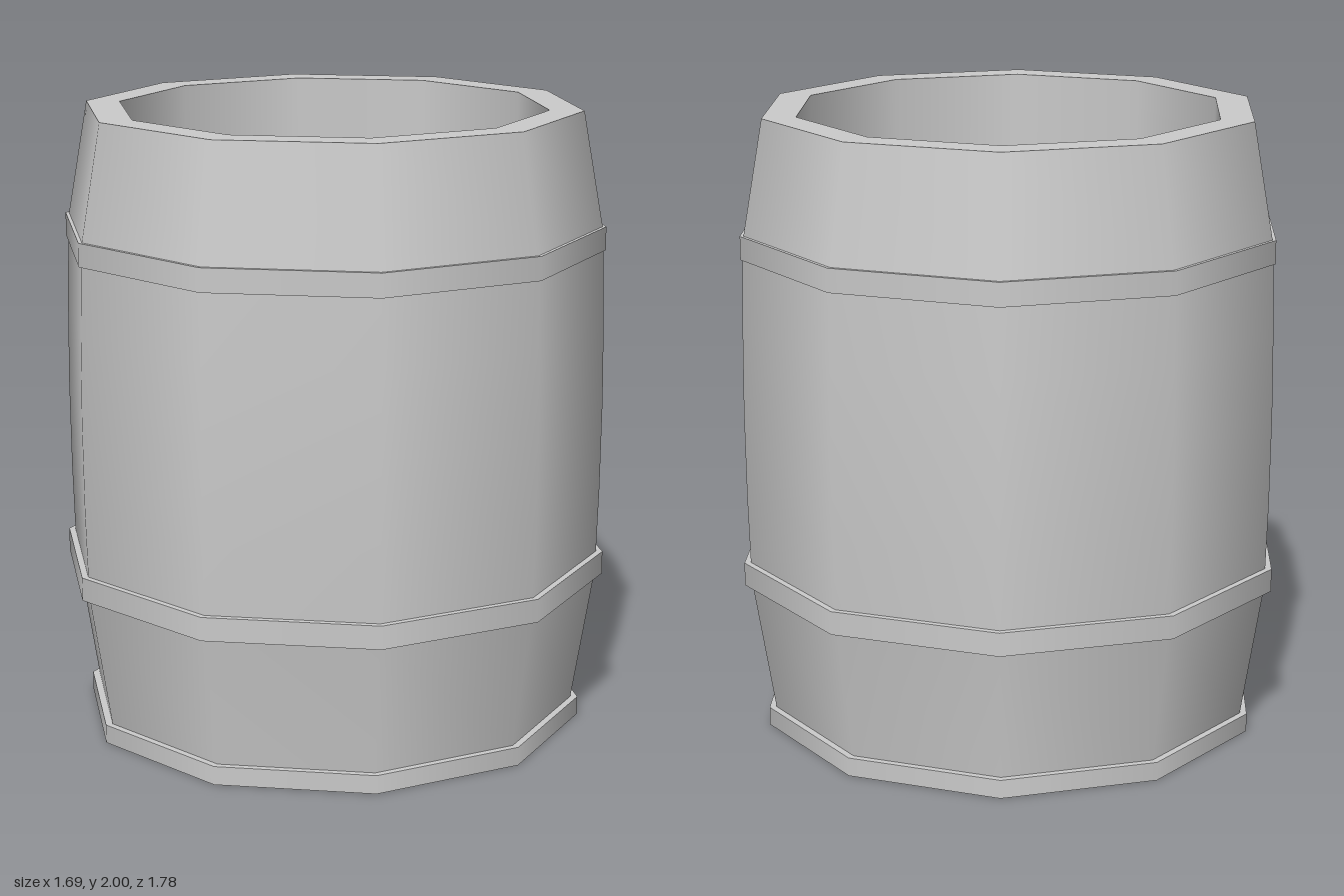
import * as THREE from 'three';
import { mergeGeometries } from 'three/addons/utils/BufferGeometryUtils.js';

const SIDES = 10;
const material = new THREE.MeshStandardMaterial({ color: 0xcccccc });

// Each strip is a smooth run of [radius, y]; edges between strips stay sharp.
function turned(name, strips) {
  const parts = strips.map((strip) =>
    new THREE.LatheGeometry(strip.map(([r, y]) => new THREE.Vector2(r, y)), SIDES));
  const mesh = new THREE.Mesh(mergeGeometries(parts), material);
  mesh.name = name;
  return mesh;
}

// Flat band with square edges, reaching in to the barrel wall
function hoop(name, outer, inner, y0, y1) {
  return turned(name, [
    [[inner, y0], [outer, y0]],
    [[outer, y0], [outer, y1]],
    [[outer, y1], [inner, y1]],
  ]);
}

export function createModel() {
  const barrel = new THREE.Group();
  barrel.name = 'barrel';

  // Bulging staves, rim, hollow inside and floor
  barrel.add(turned('body', [
    [[0, 0], [0.795, 0]],
    [[0.795, 0], [0.795, 0.06], [0.865, 0.5]],
    [[0.865, 0.5], [0.873, 0.78], [0.876, 1.07], [0.873, 1.34], [0.865, 1.62]],
    [[0.865, 1.62], [0.797, 2]],
    [[0.797, 2], [0.688, 2]],
    [[0.688, 2], [0.688, 0.1]],
    [[0.688, 0.1], [0, 0.1]],
  ]));

  // Hoops
  barrel.add(hoop('baseHoop', 0.818, 0.78, 0, 0.06));
  barrel.add(hoop('lowerHoop', 0.888, 0.85, 0.49, 0.565));
  barrel.add(hoop('upperHoop', 0.874, 0.85, 1.56, 1.635));

  return barrel;
}
